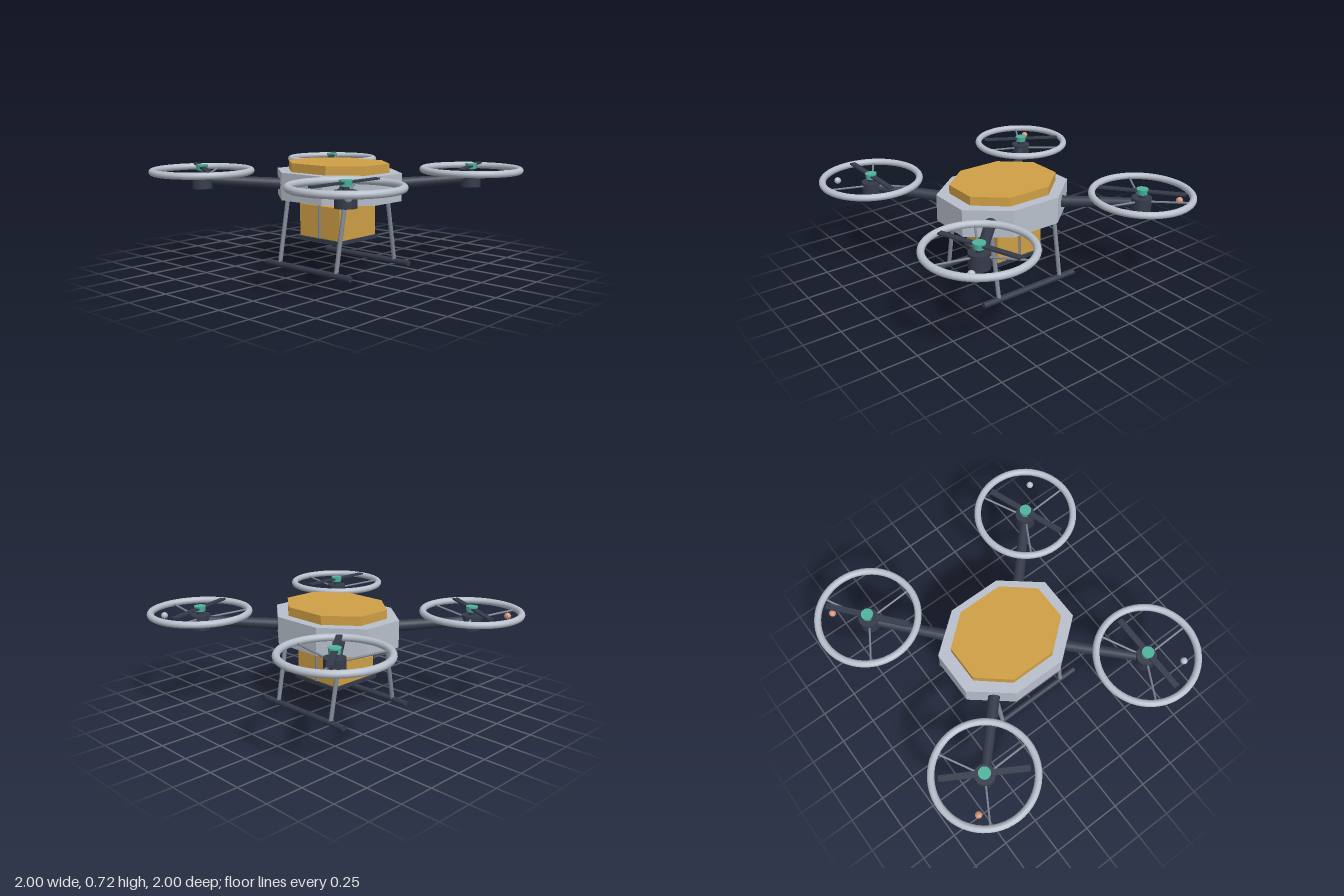
import * as THREE from 'three';

const mat = (name, color) => {
  const m = new THREE.MeshStandardMaterial({ color });
  m.name = name;
  return m;
};

export function createModel() {
  const shell = mat('shell grey', 0xb8c0cc);
  const amber = mat('amber', 0xcf9f45);
  const dark = mat('dark slate', 0x353b4b);
  const metal = mat('strut metal', 0x7f8896);
  const teal = mat('teal', 0x4fb39b);
  const copper = mat('copper light', 0xd9957a);

  const model = new THREE.Group();
  model.name = 'quadcopter';

  const add = (parent, name, geometry, material, x = 0, y = 0, z = 0) => {
    const mesh = new THREE.Mesh(geometry, material);
    mesh.name = name;
    mesh.position.set(x, y, z);
    parent.add(mesh);
    return mesh;
  };

  // Round rod from point a to point b
  const rod = (parent, name, a, b, ra, rb, material, sides = 16) => {
    const from = new THREE.Vector3(...a), to = new THREE.Vector3(...b);
    const dir = to.clone().sub(from);
    const mesh = add(parent, name, new THREE.CylinderGeometry(rb, ra, dir.length(), sides), material);
    mesh.position.copy(from).add(to).multiplyScalar(0.5);
    mesh.quaternion.setFromUnitVectors(new THREE.Vector3(0, 1, 0), dir.normalize());
    return mesh;
  };

  // Upright octagonal slab: half width, half depth and the ends of its flat sides
  const octagon = (w, d, cw, cd, height) => {
    const shape = new THREE.Shape([
      [cw, -d], [w, -cd], [w, cd], [cw, d], [-cw, d], [-w, cd], [-w, -cd], [-cw, -d],
    ].map(([x, y]) => new THREE.Vector2(x, y)));
    return new THREE.ExtrudeGeometry(shape, { depth: height, bevelEnabled: false }).rotateX(-Math.PI / 2);
  };

  // Body and lid
  add(model, 'body', octagon(0.355, 0.435, 0.15, 0.182, 0.185), shell, 0, 0.475, 0);
  add(model, 'lid', octagon(0.287, 0.352, 0.121, 0.155, 0.062), amber, 0, 0.658, 0);

  // Cargo box on its hanging tray
  add(model, 'cargoBox', new THREE.BoxGeometry(0.364, 0.225, 0.364), amber, 0, 0.323, 0);
  add(model, 'cargoTray', new THREE.BoxGeometry(0.394, 0.024, 0.394), dark, 0, 0.204, 0);
  for (const s of [-1, 1]) {
    rod(model, 'trayHanger', [s * 0.184, 0.2, 0], [s * 0.184, 0.48, 0], 0.009, 0.009, metal, 10);
  }

  // Landing gear
  for (const s of [-1, 1]) {
    rod(model, 'skid', [s * 0.305, 0.02, -0.385], [s * 0.305, 0.02, 0.385], 0.02, 0.02, dark);
    for (const z of [-0.26, 0.26]) {
      rod(model, 'leg', [s * 0.303, 0.025, z], [s * 0.218, 0.485, z], 0.015, 0.015, metal);
    }
  }

  // Four rotors, each blade pair turned 20 degrees further than the last
  const corners = [[-1, 1], [1, 1], [1, -1], [-1, -1]];
  corners.forEach(([sx, sz], i) => {
    rod(model, 'arm', [sx * 0.22, 0.568, sz * 0.255], [sx * 0.648, 0.605, sz * 0.648], 0.04, 0.03, dark, 20);

    const rotor = new THREE.Group();
    rotor.name = 'rotor';
    rotor.position.set(sx * 0.648, 0, sz * 0.648);
    model.add(rotor);

    add(rotor, 'motor', new THREE.CylinderGeometry(0.067, 0.067, 0.1, 24), dark, 0, 0.594, 0);
    add(rotor, 'shaft', new THREE.CylinderGeometry(0.022, 0.022, 0.05, 16), dark, 0, 0.66, 0);
    add(rotor, 'hubCap', new THREE.CylinderGeometry(0.04, 0.036, 0.036, 20), teal, 0, 0.686, 0);
    const blades = add(rotor, 'blades', new THREE.BoxGeometry(0.565, 0.011, 0.04), dark, 0, 0.688, 0);
    blades.rotation.y = THREE.MathUtils.degToRad(20 * i);

    // Guard ring with three spokes
    const ring = new THREE.TorusGeometry(0.329, 0.023, 14, 56).rotateX(Math.PI / 2);
    add(rotor, 'guardRing', ring, shell, 0, 0.662, 0);
    for (let k = 0; k < 3; k++) {
      const a = Math.PI / 2 + k * Math.PI * 2 / 3;
      const c = Math.cos(a), s = Math.sin(a);
      rod(rotor, 'guardSpoke', [c * 0.05, 0.62, s * 0.05], [c * 0.325, 0.658, s * 0.325], 0.007, 0.007, metal, 8);
    }

    // Navigation light, pale in front and copper behind
    add(rotor, 'navigationLight', new THREE.SphereGeometry(0.023, 16, 12),
      sz > 0 ? shell : copper, sx * 0.172, 0.635, sz * 0.172);
  });

  return model;
}
